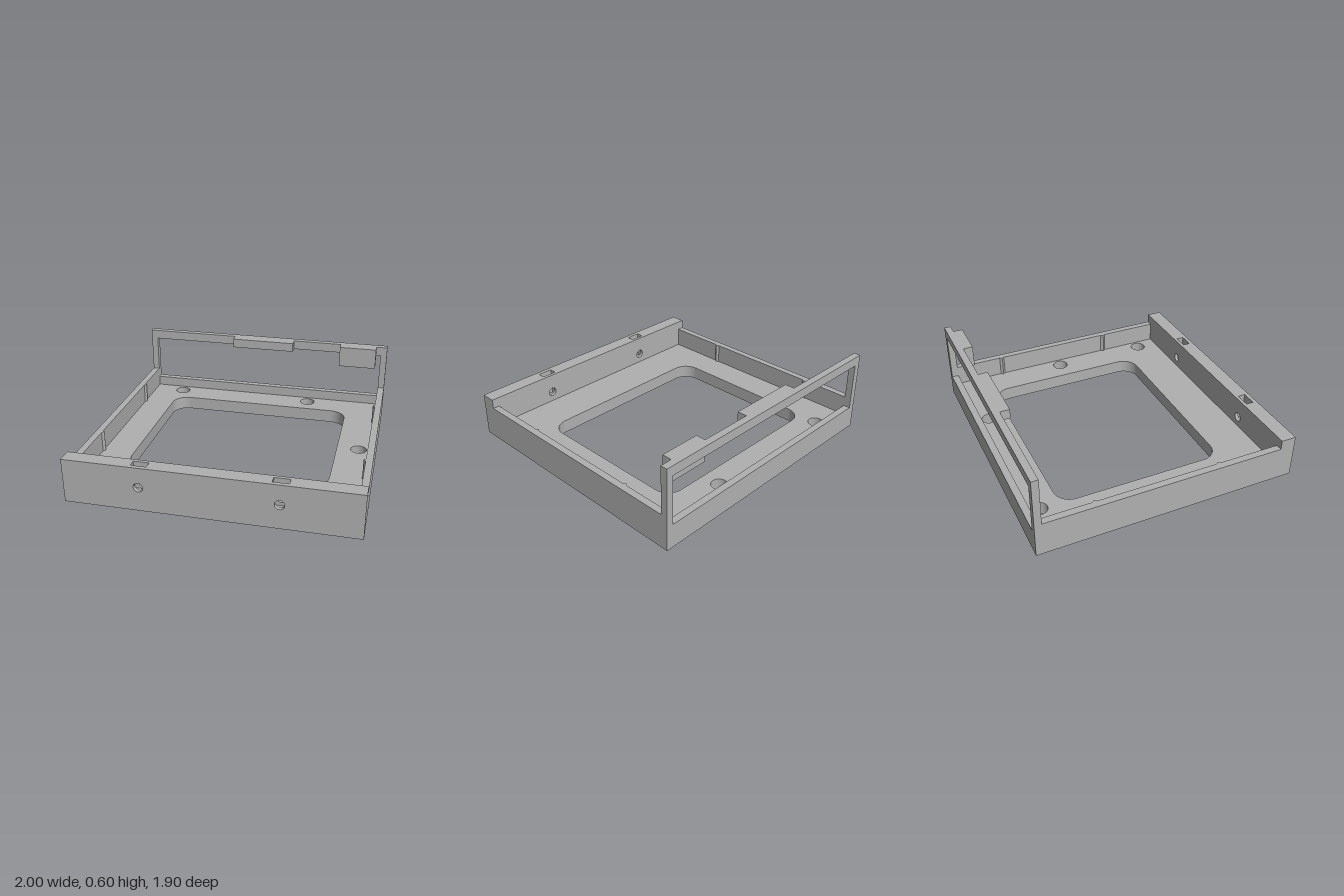
import * as THREE from 'three';
import { toCreasedNormals } from 'three/addons/utils/BufferGeometryUtils.js';

const grey = new THREE.MeshStandardMaterial({ color: 0xb0b0b0 });
grey.name = 'plain grey';

// Closed outline from corner points
const polygon = (pts) => new THREE.Shape(pts.map(([x, y]) => new THREE.Vector2(x, y)));
const rect = (x0, y0, x1, y1) => polygon([[x0, y0], [x1, y0], [x1, y1], [x0, y1]]);

function circle(x, y, r) {
  const p = new THREE.Path();
  p.absarc(x, y, r, 0, Math.PI * 2, true);
  return p;
}

function roundedRect(x0, y0, x1, y1, r) {
  const p = new THREE.Path();
  p.absarc(x1 - r, y1 - r, r, 0, Math.PI / 2);
  p.absarc(x0 + r, y1 - r, r, Math.PI / 2, Math.PI);
  p.absarc(x0 + r, y0 + r, r, Math.PI, Math.PI * 1.5);
  p.absarc(x1 - r, y0 + r, r, Math.PI * 1.5, Math.PI * 2);
  p.closePath();
  return p;
}

function extrude(shape, depth, holes = []) {
  shape.holes.push(...holes);
  const g = new THREE.ExtrudeGeometry(shape, { depth, bevelEnabled: false, curveSegments: 24 });
  return toCreasedNormals(g, 0.5);
}

export function createModel() {
  const model = new THREE.Group();
  model.name = 'mountingTray';

  const add = (name, geometry) => {
    const mesh = new THREE.Mesh(geometry, grey);
    mesh.name = name;
    model.add(mesh);
  };
  const box = (name, x0, x1, y0, y1, z0, z1) =>
    add(name, new THREE.BoxGeometry(x1 - x0, y1 - y0, z1 - z0)
      .translate((x0 + x1) / 2, (y0 + y1) / 2, (z0 + z1) / 2));

  const floorTop = 0.1, sideTop = 0.25, frontTop = 0.32, top = 0.6;

  // Floor with a large rounded opening and four mounting holes (shape y = -z)
  const mounts = [[-0.71, -0.82], [0.38, -0.82], [0.875, -0.05], [0.875, 0.68]];
  const floorHoles = [
    roundedRect(-0.72, -0.53, 0.715, 0.68, 0.12),
    ...mounts.map(([x, z]) => circle(x, -z, 0.058)),
  ];
  add('floor', extrude(rect(-1, -0.95, 1, 0.95), floorTop, floorHoles).rotateX(-Math.PI / 2));

  // Side walls, each with two small vertical ridges on the inside
  for (const [side, s] of [['left', 1], ['right', -1]]) {
    box(side + 'Wall', Math.min(s, s * 0.95), Math.max(s, s * 0.95), floorTop, sideTop, -0.9, 0.84);
    for (const z of [-0.53, 0.375]) {
      const ridge = polygon([[s * 0.95, -z - 0.018], [s * 0.95, -z + 0.018], [s * 0.935, -z]]);
      add(side + 'Ridge', extrude(ridge, sideTop - floorTop).rotateX(-Math.PI / 2)
        .translate(0, floorTop, 0));
    }
  }

  // Front wall in three layers: screw holes outside, nut pockets open at the top between
  const screwHoles = () => [-0.47, 0.465].map((x) => circle(x, 0.175, 0.033));
  const plate = () => rect(-1, floorTop, 1, frontTop);
  add('frontWallOuter', extrude(plate(), 0.03, screwHoles()).translate(0, 0, 0.92));
  add('frontWallInner', extrude(plate(), 0.025, screwHoles()).translate(0, 0, 0.84));
  const pocketed = polygon([
    [-1, floorTop], [1, floorTop], [1, frontTop],
    [0.52, frontTop], [0.52, 0.12], [0.41, 0.12], [0.41, frontTop],
    [-0.415, frontTop], [-0.415, 0.12], [-0.525, 0.12], [-0.525, frontTop],
    [-1, frontTop],
  ]);
  add('frontWallPockets', extrude(pocketed, 0.055).translate(0, 0, 0.865));

  // Tall back frame with a wide window
  const backWindow = rect(-0.95, 0.175, 0.95, 0.53);
  add('backFrame', extrude(rect(-1, floorTop, 1, top), 0.05, [backWindow]).translate(0, 0, -0.95));

  // Tab and deeper block on the inside of the top bar
  box('topTab', -0.26, 0.24, 0.53, top, -0.9, -0.83);
  box('cornerBlock', 0.625, 0.915, 0.44, top, -0.9, -0.83);

  return model;
}
